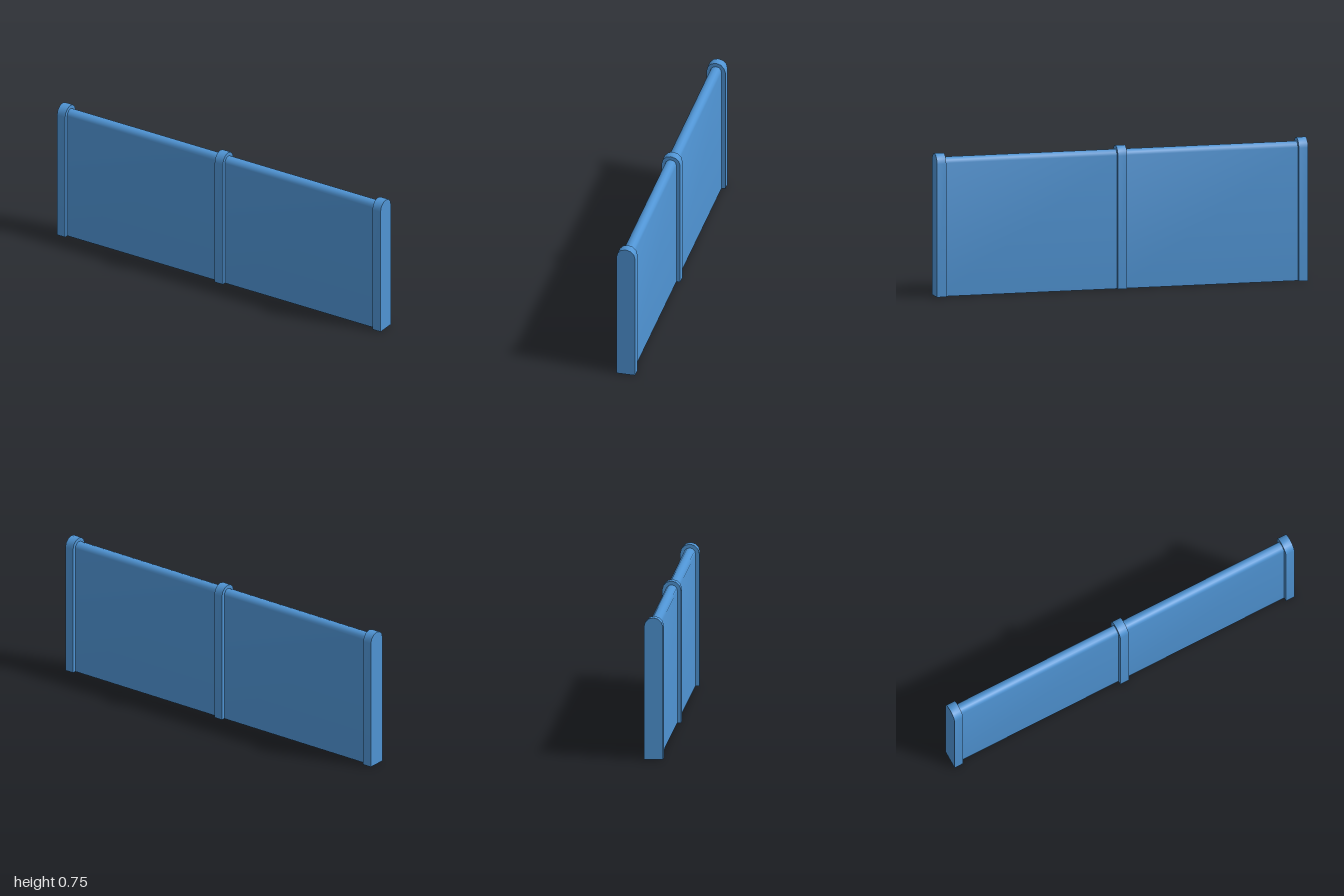
import * as THREE from 'three';
import { toCreasedNormals } from 'three/addons/utils/BufferGeometryUtils.js';

const blue = new THREE.MeshStandardMaterial({ color: 0x4f94d4, side: THREE.DoubleSide });
blue.name = 'blue';

// Hollow round-topped slab running along x, open underneath
function roundTopSlab(name, length, radius, x) {
  const springY = 0.7, segments = 6;
  const points = [new THREE.Vector2(-radius, 0), new THREE.Vector2(radius, 0)];
  for (let i = 0; i <= segments; i++) {
    const a = (Math.PI * i) / segments;
    points.push(new THREE.Vector2(radius * Math.cos(a), springY + radius * Math.sin(a)));
  }
  const solid = new THREE.ExtrudeGeometry(new THREE.Shape(points), {
    depth: length, bevelEnabled: false, steps: 1,
  });
  solid.translate(0, 0, -length / 2).rotateY(Math.PI / 2);

  // Leave out the triangles of the underside
  const p = solid.attributes.position, kept = [];
  for (let i = 0; i < p.count; i += 3) {
    if (Math.max(p.getY(i), p.getY(i + 1), p.getY(i + 2)) < 1e-4) continue;
    for (let k = i; k < i + 3; k++) kept.push(p.getX(k), p.getY(k), p.getZ(k));
  }
  const open = new THREE.BufferGeometry();
  open.setAttribute('position', new THREE.Float32BufferAttribute(kept, 3));

  const mesh = new THREE.Mesh(toCreasedNormals(open, 0.7), blue);
  mesh.name = name;
  mesh.position.x = x;
  return mesh;
}

export function createModel() {
  const group = new THREE.Group();
  group.name = 'wall';

  // Thin wall panels between the posts
  group.add(roundTopSlab('rightPanel', 0.975, 0.03, -0.4875));
  group.add(roundTopSlab('leftPanel', 0.975, 0.03, 0.4875));

  // Thicker posts at the ends and the middle
  group.add(roundTopSlab('rightPost', 0.05, 0.05, -0.975));
  group.add(roundTopSlab('middlePost', 0.05, 0.05, 0));
  group.add(roundTopSlab('leftPost', 0.05, 0.05, 0.975));
  return group;
}
